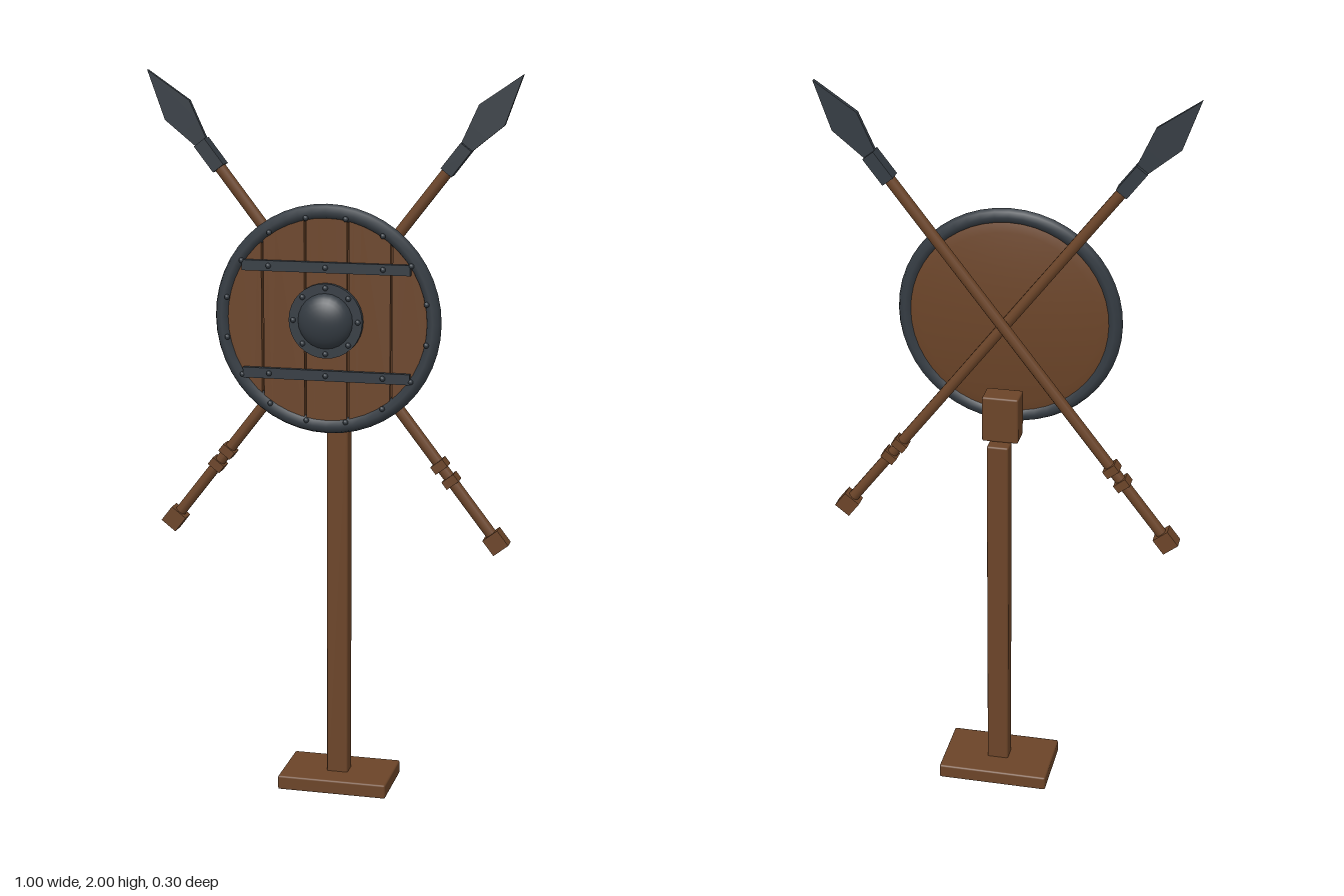
import * as THREE from 'three';
import { RoundedBoxGeometry } from 'three/addons/geometries/RoundedBoxGeometry.js';

const mat = (name, color) => {
  const m = new THREE.MeshStandardMaterial({ color });
  m.name = name;
  return m;
};

export function createModel() {
  const wood = mat('wood', 0x6b4428);
  const steel = mat('darkSteel', 0x343b42);
  const model = new THREE.Group();
  model.name = 'shieldAndSpearsStand';

  const add = (parent, name, geometry, material, x = 0, y = 0, z = 0) => {
    const mesh = new THREE.Mesh(geometry, material);
    mesh.name = name;
    mesh.position.set(x, y, z);
    parent.add(mesh);
    return mesh;
  };
  const box = (w, h, d) => new THREE.BoxGeometry(w, h, d);
  const rounded = (w, h, d) => new RoundedBoxGeometry(w, h, d, 1, 0.005);

  // Stand
  add(model, 'base', rounded(0.31, 0.04, 0.2), wood, 0, 0.02, -0.048);
  add(model, 'post', rounded(0.06, 1.005, 0.05), wood, 0, 0.5375, -0.046);
  add(model, 'mountBlock', rounded(0.1, 0.13, 0.068), wood, 0, 1.105, -0.005);

  // Crossed spears, each built along y around the crossing point
  const blade = new THREE.Shape();
  blade.moveTo(-0.016, 0.57);
  blade.lineTo(0.016, 0.57);
  blade.lineTo(0.03, 0.63);
  blade.lineTo(0.043, 0.685);
  blade.lineTo(0, 0.817);
  blade.lineTo(-0.043, 0.685);
  blade.lineTo(-0.03, 0.63);
  const bladeGeo = new THREE.ExtrudeGeometry(blade, { depth: 0.014, bevelEnabled: false });
  bladeGeo.translate(0, 0, -0.007);

  for (const [side, z] of [[1, 0.012], [-1, 0.044]]) {
    const spear = new THREE.Group();
    spear.name = side > 0 ? 'leftSpear' : 'rightSpear';
    spear.position.set(0, 1.355, z);
    spear.rotation.z = -side * 0.659;
    add(spear, 'shaft', new THREE.CylinderGeometry(0.0155, 0.0155, 1.28, 10), wood, 0, -0.1, 0);
    add(spear, 'butt', box(0.05, 0.05, 0.043), wood, 0, -0.744, 0);
    for (const s of [-0.54, -0.49]) add(spear, 'gripRing', box(0.04, 0.024, 0.042), wood, 0, s, 0);
    add(spear, 'socket', box(0.036, 0.085, 0.043), steel, 0, 0.538, 0);
    add(spear, 'blade', bladeGeo, steel);
    model.add(spear);
  }

  // Shield, facing +z
  const shield = new THREE.Group();
  shield.name = 'shield';
  shield.position.set(0, 1.357, 0);
  model.add(shield);

  // Slightly domed back, turned so the lathe axis points forward
  const profile = [];
  for (let i = 0; i <= 8; i++) {
    const r = 0.28 * i / 8;
    profile.push(new THREE.Vector2(r, 0.054 + 0.3 * r * r));
  }
  profile.push(new THREE.Vector2(0.28, 0.082), new THREE.Vector2(0, 0.082));
  const back = new THREE.LatheGeometry(profile, 48);
  back.rotateX(Math.PI / 2);
  add(shield, 'backBoard', back, wood);

  // Planks cut to the round outline, with narrow gaps between them
  const R = 0.284, seams = [-R, -0.175, -0.058, 0.058, 0.175, R];
  for (let i = 0; i < 5; i++) {
    const x0 = seams[i] + (i > 0 ? 0.003 : 0), x1 = seams[i + 1] - (i < 4 ? 0.003 : 0);
    const edge = t => {
      const x = THREE.MathUtils.lerp(x0, x1, t);
      return [x, Math.sqrt(Math.max(0, R * R - x * x))];
    };
    const plank = new THREE.Shape();
    const n = 10, pts = [];
    for (let k = 0; k <= n; k++) { const [x, y] = edge(k / n); pts.push(new THREE.Vector2(x, -y)); }
    for (let k = n; k >= 0; k--) {
      const [x, y] = edge(k / n);
      if (y > 1e-6) pts.push(new THREE.Vector2(x, y));
    }
    plank.setFromPoints(pts);
    add(shield, 'plank', new THREE.ExtrudeGeometry(plank, { depth: 0.022, bevelEnabled: false }), wood, 0, 0, 0.076);
  }

  // Metal rim, bands and boss
  add(shield, 'rim', new THREE.TorusGeometry(0.287, 0.0205, 8, 48), steel, 0, 0, 0.088);
  for (const y of [0.142, -0.147]) add(shield, 'band', box(0.455, 0.028, 0.016), steel, 0, y, 0.104);

  const flange = new THREE.CylinderGeometry(0.1, 0.1, 0.016, 32);
  flange.rotateX(Math.PI / 2);
  add(shield, 'bossFlange', flange, steel, 0, 0, 0.104);
  const dome = new THREE.SphereGeometry(0.075, 24, 8, 0, Math.PI * 2, 0, Math.PI / 2);
  dome.rotateX(Math.PI / 2);
  add(shield, 'bossDome', dome, steel, 0, 0, 0.108).scale.z = 0.54;

  // Rivets
  const rivetGeo = new THREE.SphereGeometry(0.0075, 8, 6);
  const rivet = (x, y, z) => add(shield, 'rivet', rivetGeo, steel, x, y, z);
  for (let i = 0; i < 16; i++) {
    const a = (i + 0.5) * Math.PI / 8;
    rivet(0.276 * Math.cos(a), 0.276 * Math.sin(a), 0.107);
  }
  for (let i = 0; i < 8; i++) {
    const a = i * Math.PI / 4;
    rivet(0.088 * Math.cos(a), 0.088 * Math.sin(a), 0.112);
  }
  for (const y of [0.142, -0.147]) for (const x of [-0.155, 0, 0.155]) rivet(x, y, 0.112);

  return model;
}
